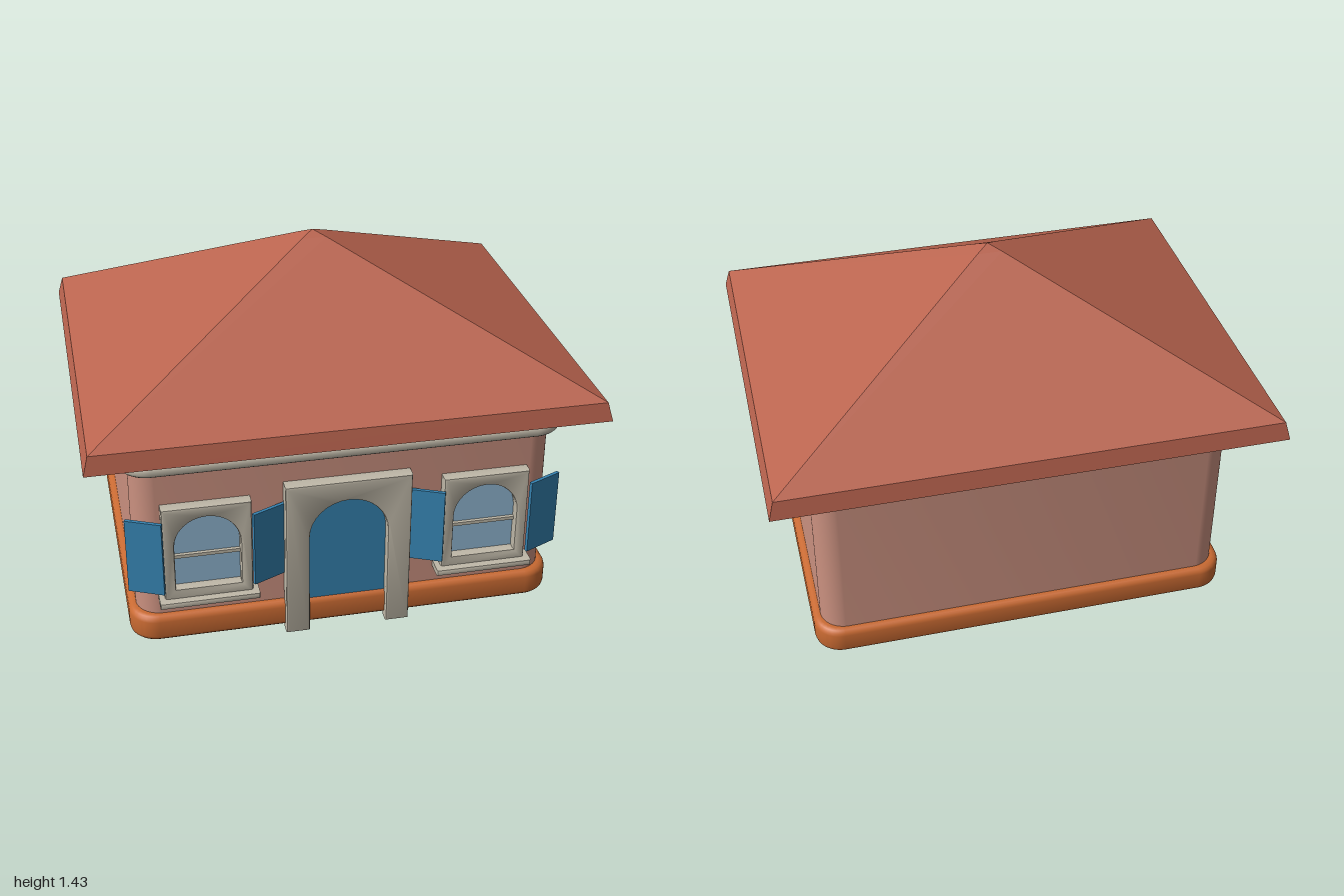
import * as THREE from 'three';
import { toCreasedNormals } from 'three/addons/utils/BufferGeometryUtils.js';

const material = (name, color, side = THREE.FrontSide) => {
  const m = new THREE.MeshStandardMaterial({ color, side });
  m.name = name;
  return m;
};

export function createModel() {
  const house = new THREE.Group();
  house.name = 'house';
  const plaster = material('pink plaster', 0xcb9180);
  const tile = material('red roof tile', 0xba644f, THREE.DoubleSide);
  const brick = material('orange plinth', 0xc96a32);
  const stone = material('grey stone trim', 0xbfb8a8);
  const blue = material('blue paint', 0x3582b0);
  const glass = material('pale blue glass', 0x90b5d0);

  const add = (name, geometry, mat, parent = house) => {
    const mesh = new THREE.Mesh(geometry, mat);
    mesh.name = name;
    parent.add(mesh);
    return mesh;
  };

  // Extrusion whose bevel stays inside the outline and the given depth
  const bevelled = (shape, depth, bevel, segments = 2) => toCreasedNormals(
    new THREE.ExtrudeGeometry(shape, {
      depth: depth - 2 * bevel, bevelEnabled: bevel > 0, bevelThickness: bevel,
      bevelSize: bevel, bevelOffset: -bevel, bevelSegments: segments, curveSegments: 8,
    }).translate(0, 0, bevel), 0.7);

  const box = (w, h, d, x, y, z) => new THREE.BoxGeometry(w, h, d).translate(x, y, z);

  // Horizontal slab with rounded corners
  const slab = (name, hx, hz, r, y0, y1, bevel, mat) => {
    const s = new THREE.Shape();
    s.moveTo(-hx + r, -hz);
    s.lineTo(hx - r, -hz);
    s.absarc(hx - r, -hz + r, r, -Math.PI / 2, 0);
    s.lineTo(hx, hz - r);
    s.absarc(hx - r, hz - r, r, 0, Math.PI / 2);
    s.lineTo(-hx + r, hz);
    s.absarc(-hx + r, hz - r, r, Math.PI / 2, Math.PI);
    s.lineTo(-hx, -hz + r);
    s.absarc(-hx + r, -hz + r, r, Math.PI, Math.PI * 1.5);
    const g = bevelled(s, y1 - y0, bevel, 3);
    return add(name, g.rotateX(-Math.PI / 2).translate(0, y0, 0), mat);
  };

  // Body, plinth and the two cornice mouldings
  slab('walls', 0.83, 0.655, 0.1, 0.03, 0.87, 0, plaster);
  slab('plinth', 0.86, 0.685, 0.11, 0.02, 0.135, 0.025, brick);
  slab('lowerCornice', 0.87, 0.695, 0.12, 0.775, 0.822, 0.018, stone);
  slab('upperCornice', 0.9, 0.73, 0.14, 0.838, 0.888, 0.018, stone);

  // Hollow hipped roof from rectangular rings, closed by a blunt tip
  const rings = [[1, 0.81, 0.885], [0.98, 0.795, 0.96], [0.05, 0.04, 1.408], [0, 0, 1.43]];
  const signs = [[-1, 1], [1, 1], [1, -1], [-1, -1]];
  const corner = ([hx, hz, y], i) => [signs[i % 4][0] * hx, y, signs[i % 4][1] * hz];
  const points = [];
  for (let k = 0; k < 3; k++) {
    for (let i = 0; i < 4; i++) {
      const a = corner(rings[k], i), b = corner(rings[k], i + 1);
      const c = corner(rings[k + 1], i + 1), d = corner(rings[k + 1], i);
      points.push(...a, ...b, ...c);
      if (k < 2) points.push(...a, ...c, ...d);
    }
  }
  const roof = new THREE.BufferGeometry();
  roof.setAttribute('position', new THREE.Float32BufferAttribute(points, 3));
  roof.computeVertexNormals();
  add('roof', roof, tile);

  // Arched door surround, open at the foot
  const doorway = new THREE.Group();
  doorway.name = 'doorway';
  house.add(doorway);
  const surround = new THREE.Shape();
  surround.moveTo(-0.25, 0);
  surround.lineTo(-0.155, 0);
  surround.lineTo(-0.155, 0.44);
  surround.absarc(0, 0.44, 0.155, Math.PI, 0, true);
  surround.lineTo(0.155, 0);
  surround.lineTo(0.25, 0);
  surround.lineTo(0.25, 0.68);
  surround.lineTo(-0.25, 0.68);
  surround.closePath();
  add('doorSurround', bevelled(surround, 0.06, 0.01).translate(0, 0, 0.65), stone, doorway);
  add('door', box(0.33, 0.555, 0.03, 0, 0.3075, 0.656), blue, doorway);

  // Windows with frame, glass, bar, sill and swung-back shutters
  for (const side of [1, -1]) {
    const win = new THREE.Group();
    win.name = side > 0 ? 'leftWindow' : 'rightWindow';
    win.position.x = side * 0.552;
    house.add(win);

    const frame = new THREE.Shape();
    frame.moveTo(-0.173, 0.22);
    frame.lineTo(0.173, 0.22);
    frame.lineTo(0.173, 0.637);
    frame.lineTo(-0.173, 0.637);
    frame.closePath();
    const opening = new THREE.Path();
    opening.moveTo(-0.128, 0.272);
    opening.lineTo(-0.128, 0.462);
    opening.absarc(0, 0.462, 0.128, Math.PI, 0, true);
    opening.lineTo(0.128, 0.272);
    opening.closePath();
    frame.holes.push(opening);
    add('windowFrame', bevelled(frame, 0.055, 0.01).translate(0, 0, 0.65), stone, win);
    add('windowGlass', box(0.28, 0.34, 0.008, 0, 0.43, 0.662), glass, win);
    add('windowBar', box(0.26, 0.014, 0.02, 0, 0.407, 0.67), stone, win);

    const sill = new THREE.Shape();
    sill.moveTo(-0.195, 0.205);
    sill.lineTo(0.195, 0.205);
    sill.lineTo(0.195, 0.232);
    sill.lineTo(-0.195, 0.232);
    sill.closePath();
    add('windowSill', bevelled(sill, 0.085, 0.008).translate(0, 0, 0.65), stone, win);

    for (const s of [1, -1]) {
      const shutter = add('shutter', new THREE.BoxGeometry(0.145, 0.32, 0.014), blue, win);
      shutter.position.set(s * 0.24, 0.43, 0.692);
      shutter.rotation.y = s * 0.42;
    }
  }
  return house;
}
